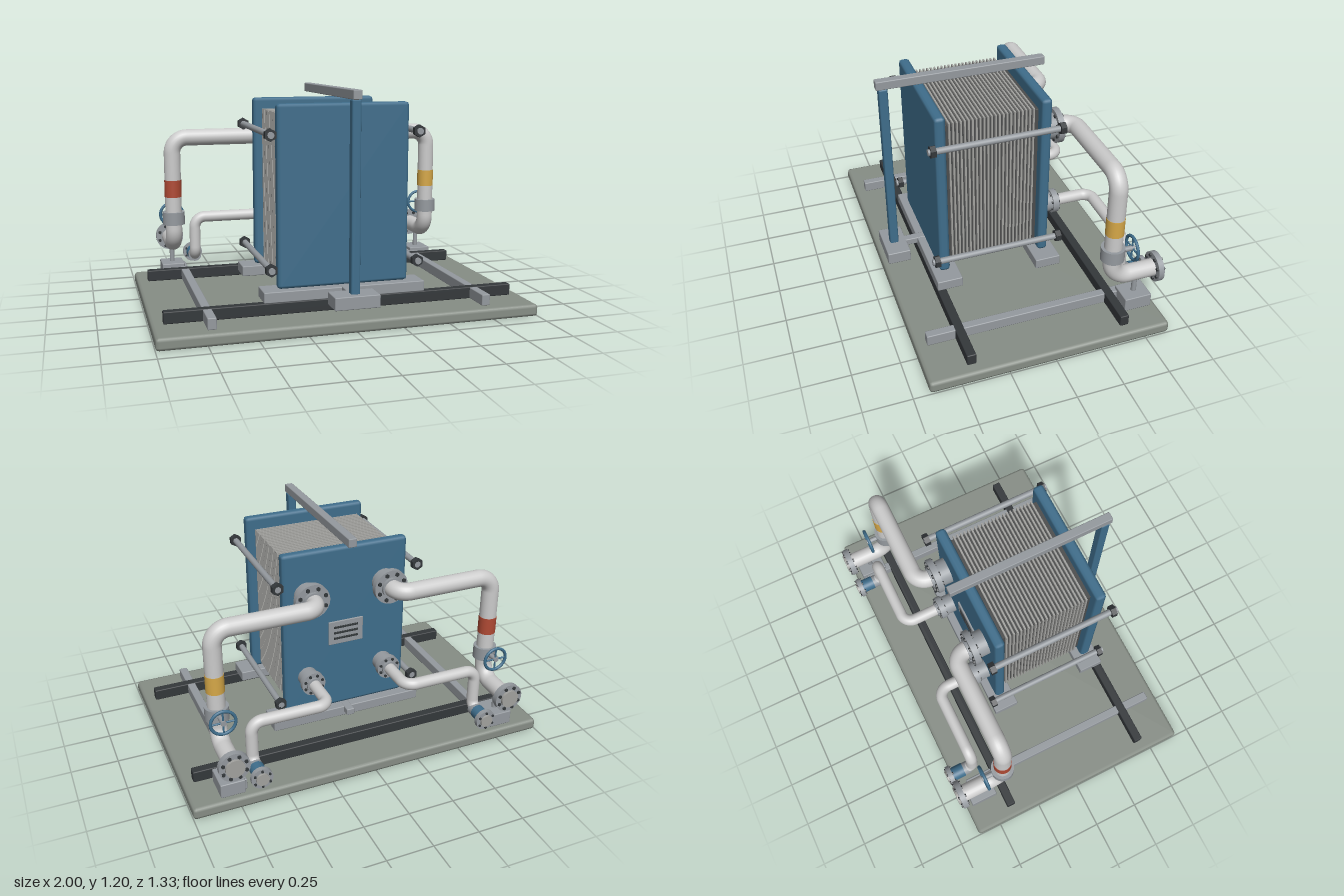
import * as THREE from 'three';
import { RoundedBoxGeometry } from 'three/addons/geometries/RoundedBoxGeometry.js';

const mat = (color) => new THREE.MeshStandardMaterial({ color });
const V = (x, y, z) => new THREE.Vector3(x, y, z);

export function createModel() {
  const root = new THREE.Group();
  root.name = 'plateHeatExchanger';
  const pipeGrey = mat(0xcccccc), steel = mat(0x959a9f), plateGrey = mat(0xa3a3a0), gasket = mat(0x4c4d4d);
  const blue = mat(0x3f6e8c), dark = mat(0x34383b), deck = mat(0x878e86);
  const yellow = mat(0xd6a848), red = mat(0xb04a34);

  const add = (name, geo, material, parent = root) => {
    const m = new THREE.Mesh(geo, material);
    m.name = name;
    parent.add(m);
    return m;
  };
  // Chamfered box given by its ranges
  const box = (name, x, y, z, material, bevel = 0.005, parent = root) => {
    const g = new RoundedBoxGeometry(x[1] - x[0], y[1] - y[0], z[1] - z[0], 1, bevel);
    g.translate((x[0] + x[1]) / 2, (y[0] + y[1]) / 2, (z[0] + z[1]) / 2);
    return add(name, g, material, parent);
  };
  // Cylinder along z, from z0 back to z1
  const cylZ = (name, r, x, y, z0, z1, material, parent = root, sides = 32) => {
    const g = new THREE.CylinderGeometry(r, r, Math.abs(z1 - z0), sides);
    if (sides === 6) {
      const flat = g.toNonIndexed();
      flat.computeVertexNormals();
      flat.rotateX(Math.PI / 2).translate(x, y, (z0 + z1) / 2);
      return add(name, flat, material, parent);
    }
    g.rotateX(Math.PI / 2).translate(x, y, (z0 + z1) / 2);
    return add(name, g, material, parent);
  };
  const cylY = (name, r, x, z, y0, y1, material, parent = root) => {
    const g = new THREE.CylinderGeometry(r, r, y1 - y0, 32);
    g.translate(x, (y0 + y1) / 2, z);
    return add(name, g, material, parent);
  };
  // Pipe through corner points, each corner rounded to a bend radius
  const pipe = (name, pts, bends, r, parent) => {
    const path = new THREE.CurvePath();
    let from = pts[0];
    for (let i = 1; i < pts.length - 1; i++) {
      const c = pts[i], b = bends[i - 1];
      const din = c.clone().sub(pts[i - 1]).normalize(), dout = pts[i + 1].clone().sub(c).normalize();
      const p = c.clone().addScaledVector(din, -b), q = c.clone().addScaledVector(dout, b);
      path.add(new THREE.LineCurve3(from, p));
      path.add(new THREE.CubicBezierCurve3(p, p.clone().addScaledVector(din, b * 0.552),
        q.clone().addScaledVector(dout, -b * 0.552), q));
      from = q;
    }
    path.add(new THREE.LineCurve3(from, pts[pts.length - 1]));
    add(name, new THREE.TubeGeometry(path, 130, r, 24), pipeGrey, parent);
  };
  // Round flange with a ring of hexagonal bolts
  const flange = (name, x, y, z0, z1, r, count, parent) => {
    const g = new THREE.Group();
    g.name = name;
    parent.add(g);
    cylZ('flangeDisc', r, x, y, z0, z1, steel, g, 40);
    for (let i = 0; i < count; i++) {
      const a = (i + 0.5) / count * Math.PI * 2;
      cylZ('flangeBolt', r * 0.12, x + Math.cos(a) * r * 0.79, y + Math.sin(a) * r * 0.79,
        z0 + 0.008, z1 - 0.008, dark, g, 6);
    }
  };

  // Deck and skid
  box('baseDeck', [-1, 1], [0, 0.065], [-0.634, 0.665], deck, 0.018);
  for (const z of [0.432, -0.4]) box('skidRail', [-0.94, 0.94], [0.065, 0.127], [z - 0.024, z + 0.024], dark);
  for (const s of [-1, 1])
    box('crossRail', [s * 0.723 - 0.023, s * 0.723 + 0.023], [0.065, 0.125], [-0.575, 0.605], steel);
  box('frontFoot', [-0.435, 0.435], [0.127, 0.184], [0.315, 0.455], steel);
  box('backFoot', [-0.435, 0.435], [0.127, 0.184], [-0.248, -0.106], steel);

  // Support column and guide bars
  box('columnFoot', [-0.12, 0.12], [0.118, 0.186], [0.52, 0.648], steel);
  box('supportColumn', [-0.024, 0.024], [0.18, 1.157], [0.563, 0.611], blue, 0.008);
  box('upperGuideBar', [-0.023, 0.023], [1.156, 1.204], [-0.29, 0.624], steel);
  box('lowerGuideBar', [-0.023, 0.023], [0.148, 0.186], [-0.29, 0.53], steel);

  // Pressure plates and plate pack
  box('movablePressurePlate', [-0.353, 0.353], [0.184, 1.13], [0.358, 0.417], blue, 0.018);
  box('fixedPressurePlate', [-0.353, 0.353], [0.184, 1.13], [-0.205, -0.148], blue, 0.018);
  const pack = new THREE.Group();
  pack.name = 'platePack';
  root.add(pack);
  const count = 23, pitch = 0.47 / count;
  for (let i = 0; i < count; i++) {
    const z = -0.13 + (i + 0.5) * pitch;
    const plate = add('heatPlate', new THREE.BoxGeometry(0.62, 0.852, 0.009), plateGrey, pack);
    plate.position.set(0, 0.645, z);
    const seal = add('plateGasket', new THREE.BoxGeometry(0.598, 0.828, pitch - 0.009), gasket, pack);
    seal.position.set(0, 0.645, z + pitch / 2);
  }
  box('packEnd', [-0.299, 0.299], [0.231, 1.059], [-0.15, -0.125], gasket, 0.002, pack);
  box('packEnd', [-0.299, 0.299], [0.231, 1.059], [0.335, 0.36], gasket, 0.002, pack);

  // Tie bolts with nuts
  for (const s of [-1, 1]) for (const y of [0.98, 0.295]) {
    const x = s * 0.394;
    cylZ('tieBolt', 0.017, x, y, 0.467, -0.258, steel, root, 20);
    cylZ('tieNut', 0.033, x, y, 0.456, 0.428, dark, root, 6);
    cylZ('tieNut', 0.033, x, y, -0.228, -0.258, dark, root, 6);
  }

  // Data plate with engraved bars and corner rivets
  box('dataPlate', [-0.1, 0.1], [0.573, 0.71], [-0.214, -0.203], steel, 0.003);
  for (const y of [0.675, 0.642, 0.609])
    box('dataPlateBar', [-0.07, 0.07], [y - 0.006, y + 0.006], [-0.218, -0.212], dark, 0.001);

  // Mirrored pipework
  for (const s of [-1, 1]) {
    const side = new THREE.Group();
    side.name = s > 0 ? 'leftPipework' : 'rightPipework';
    root.add(side);
    const px = s * 0.222, bx = s * 0.782, sx = s * 0.645;

    // Large line
    cylZ('upperNozzle', 0.07, px, 0.897, -0.2, -0.268, steel, side);
    flange('upperNozzleFlange', px, 0.897, -0.265, -0.297, 0.095, 8, side);
    cylZ('upperHub', 0.056, px, 0.897, -0.295, -0.312, steel, side);
    pipe('largePipe', [V(px, 0.897, -0.29), V(px, 0.897, -0.38), V(bx, 0.897, -0.38), V(bx, 0.272, -0.38), V(bx, 0.272, -0.655)],
      [0.07, 0.085, 0.095], 0.047, side);
    cylY('colourBand', 0.0485, bx, -0.38, 0.557, 0.655, s > 0 ? yellow : red, side);
    flange('largeEndFlange', bx, 0.275, -0.622, -0.653, 0.081, 8, side);
    cylZ('largeEndFace', 0.05, bx, 0.275, -0.645, -0.667, plateGrey, side);

    // Valve and handwheel
    cylY('valveBody', 0.063, bx, -0.38, 0.397, 0.47, steel, side);
    cylZ('valveStem', 0.014, bx, 0.435, -0.43, -0.503, steel, side, 16);
    const wheel = new THREE.Group();
    wheel.name = 'handwheel';
    wheel.position.set(bx, 0.435, -0.491);
    side.add(wheel);
    add('wheelRim', new THREE.TorusGeometry(0.065, 0.0085, 10, 36), blue, wheel);
    for (let i = 0; i < 2; i++) {
      const spoke = add('wheelSpoke', new THREE.CylinderGeometry(0.005, 0.005, 0.13, 8), blue, wheel);
      spoke.rotation.z = i * Math.PI / 2;
    }

    // Pipe support
    box('supportBlock', [bx - 0.065, bx + 0.065], [0.065, 0.143], [-0.6, -0.448], steel, 0.005, side);
    cylY('supportPost', 0.014, bx, -0.525, 0.14, 0.24, steel, side);

    // Small line
    cylZ('lowerNozzle', 0.055, px, 0.407, -0.2, -0.268, steel, side);
    flange('lowerNozzleFlange', px, 0.407, -0.265, -0.297, 0.066, 8, side);
    cylZ('lowerHub', 0.041, px, 0.407, -0.295, -0.312, steel, side);
    pipe('smallPipe', [V(px, 0.407, -0.29), V(px, 0.407, -0.505), V(sx, 0.407, -0.505), V(sx, 0.17, -0.505), V(sx, 0.17, -0.645)],
      [0.06, 0.06, 0.055], 0.032, side);
    cylZ('smallCollar', 0.037, sx, 0.17, -0.525, -0.565, steel, side);
    cylZ('smallBlueSleeve', 0.039, sx, 0.17, -0.562, -0.632, blue, side);
    flange('smallEndFlange', sx, 0.167, -0.63, -0.655, 0.057, 6, side);
    cylZ('smallEndFace', 0.034, sx, 0.167, -0.65, -0.667, plateGrey, side);
  }
  return root;
}
